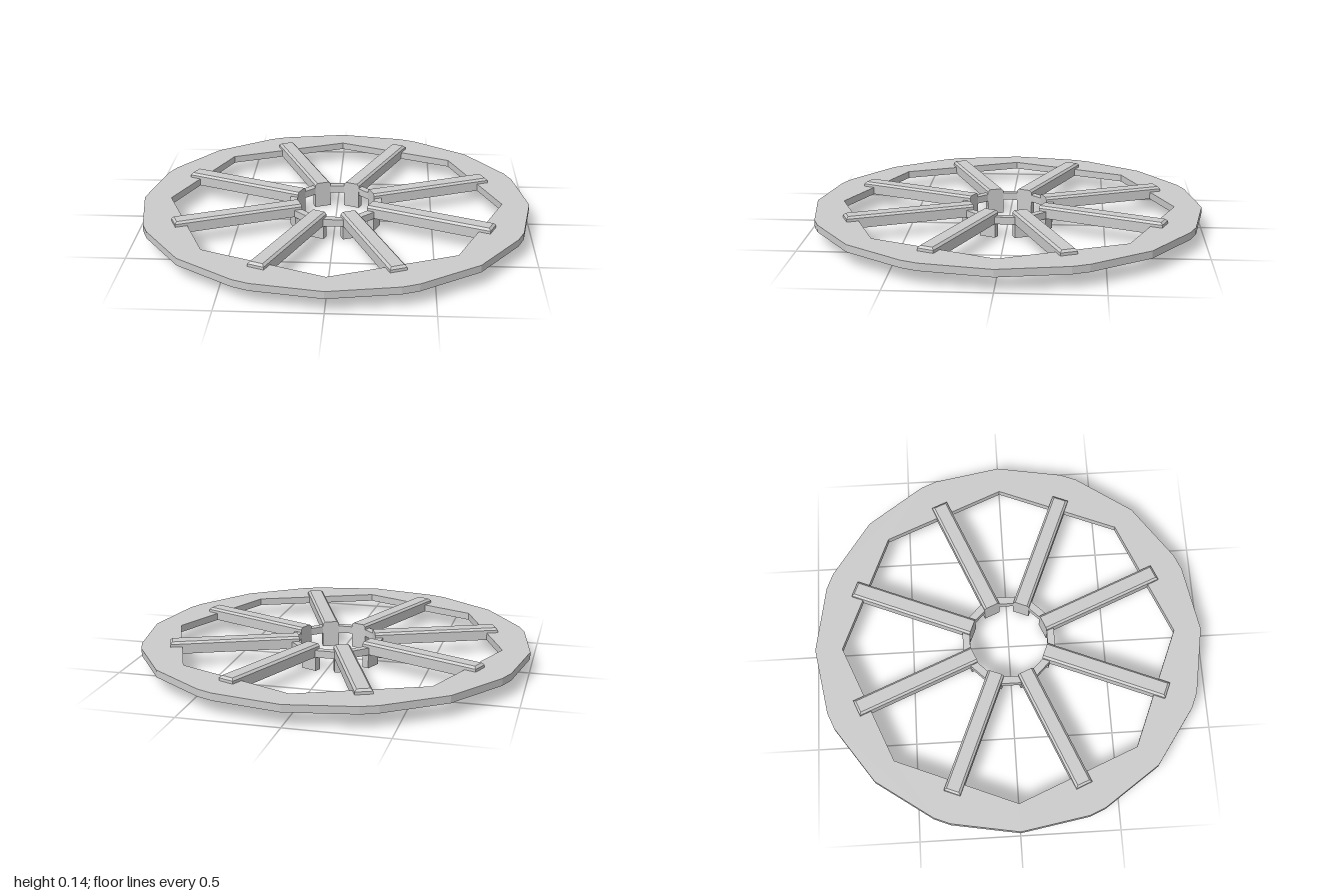
import * as THREE from 'three';

const BASE = 0.073, RIM_TOP = 0.11, SPOKE_TOP = 0.135;
const COUNT = 8, STEP = (Math.PI * 2) / COUNT;
const material = new THREE.MeshStandardMaterial({ color: 0xcccccc, flatShading: true });

function named(geometry, name) {
  const mesh = new THREE.Mesh(geometry, material);
  mesh.name = name;
  return mesh;
}

// Points on a circle at the given angles in degrees
const ringPoints = (radius, angles) => angles.map((a) => {
  const t = THREE.MathUtils.degToRad(a);
  return new THREE.Vector2(Math.cos(t) * radius, Math.sin(t) * radius);
});

// Flat polygonal ring lying between BASE and RIM_TOP
function flatRing(outer, inner) {
  const shape = new THREE.Shape(outer);
  shape.holes.push(new THREE.Path(inner));
  const geometry = new THREE.ExtrudeGeometry(shape, { depth: RIM_TOP - BASE, bevelEnabled: false });
  geometry.rotateX(-Math.PI / 2);
  geometry.translate(0, BASE, 0);
  return geometry;
}

// Bar along +x, chamfered on its top sides and outer end
function spokeGeometry(inner, outer, width, chamfer) {
  const h = SPOKE_TOP - BASE, length = outer - inner;
  const geometry = new THREE.BoxGeometry(length, h, width, 1, 2, 1);
  const p = geometry.attributes.position;
  for (let i = 0; i < p.count; i++) {
    if (Math.abs(p.getY(i)) < 1e-4) p.setY(i, h / 2 - chamfer);
    else if (p.getY(i) > 0) {
      p.setZ(i, p.getZ(i) - Math.sign(p.getZ(i)) * chamfer);
      if (p.getX(i) > 0) p.setX(i, p.getX(i) - chamfer);
    }
  }
  geometry.translate((inner + outer) / 2, BASE + h / 2, 0);
  geometry.computeVertexNormals();
  return geometry;
}

export function createModel() {
  const model = new THREE.Group();
  model.name = 'spokedWheel';

  // Outer rim: faceted outside, octagonal opening
  const outerAngles = [], innerAngles = [];
  for (let i = 0; i < COUNT; i++) {
    outerAngles.push(i * 45, i * 45 + 20, i * 45 + 25);
    innerAngles.push(i * 45);
  }
  model.add(named(flatRing(ringPoints(1, outerAngles), ringPoints(0.86, innerAngles)), 'rim'));

  // Thin ring joining the inner ends of the spokes
  const hubAngles = Array.from({ length: 16 }, (_, i) => 11.25 + i * 22.5);
  model.add(named(flatRing(ringPoints(0.242, hubAngles), ringPoints(0.204, hubAngles)), 'hubRing'));

  // Spokes, each with a short leg hanging under its inner end
  const spoke = spokeGeometry(0.198, 0.855, 0.086, 0.011);
  const leg = new THREE.BoxGeometry(0.036, BASE, 0.086);
  leg.translate(0.216, BASE / 2, 0);
  for (let i = 0; i < COUNT; i++) {
    const arm = new THREE.Group();
    arm.name = 'spokeWithLeg';
    arm.add(named(spoke, 'spoke'), named(leg, 'hubLeg'));
    arm.rotation.y = (i + 0.5) * STEP;
    model.add(arm);
  }
  return model;
}
